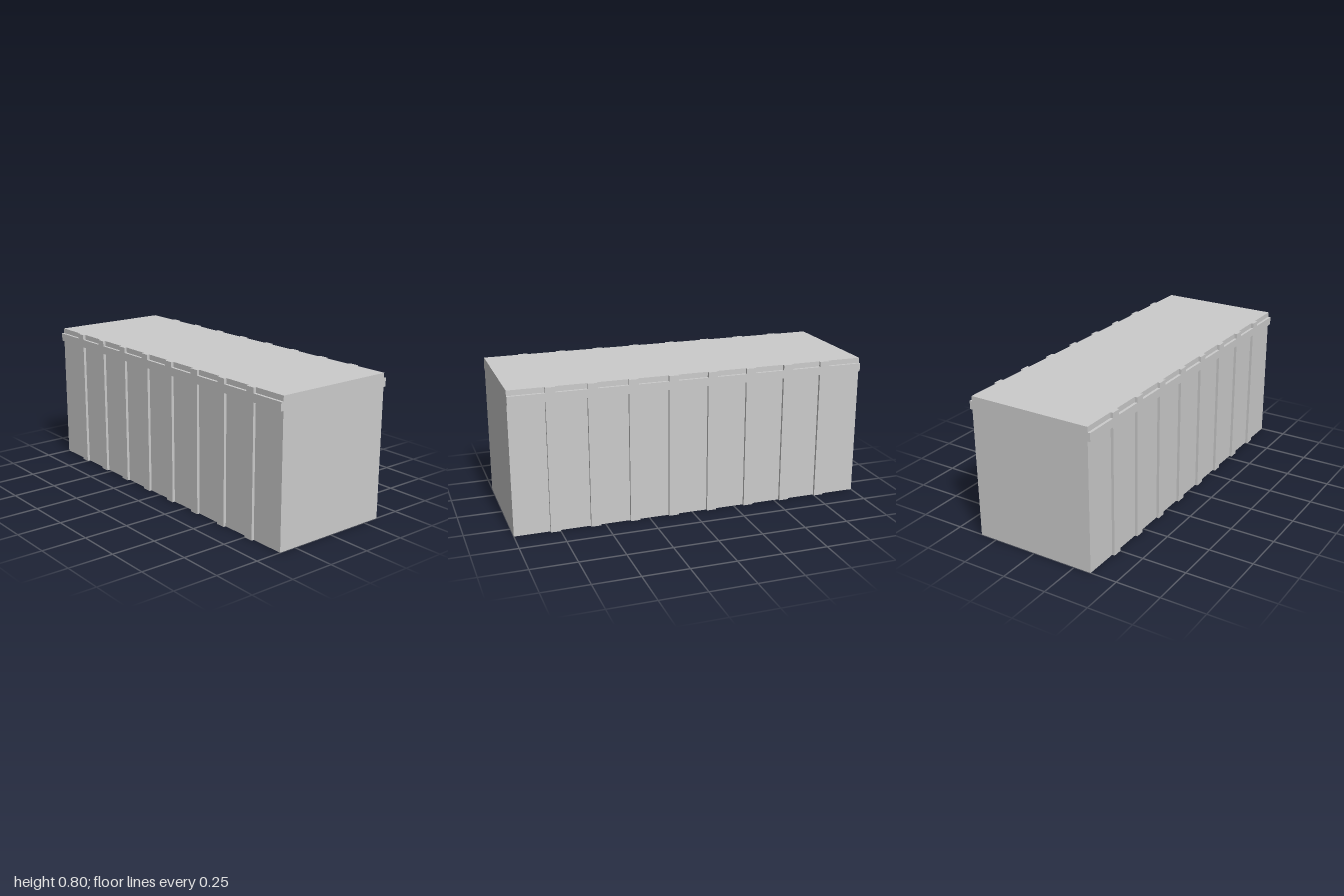
import * as THREE from 'three';

const HEIGHT = 0.8, CORE_Z = 0.349, RELIEF = 0.015;
const RAIL_LOW = 0.725, RAIL_HIGH = 0.771;
const POSTS = 8, POST_HALF = 0.027, POST_REACH = 0.777;

// Outline of one side's frame: eight full-height posts joined by a long rail
function frameShape() {
  const centres = Array.from({ length: POSTS }, (_, i) => -POST_REACH + (2 * POST_REACH * i) / (POSTS - 1));
  const shape = new THREE.Shape();
  shape.moveTo(-1, RAIL_LOW);
  for (const c of centres) {
    const l = c - POST_HALF, r = c + POST_HALF;
    shape.lineTo(l, RAIL_LOW).lineTo(l, 0).lineTo(r, 0).lineTo(r, RAIL_LOW);
  }
  shape.lineTo(1, RAIL_LOW).lineTo(1, RAIL_HIGH);
  for (const c of centres.reverse()) {
    const l = c - POST_HALF, r = c + POST_HALF;
    shape.lineTo(r, RAIL_HIGH).lineTo(r, HEIGHT).lineTo(l, HEIGHT).lineTo(l, RAIL_HIGH);
  }
  shape.lineTo(-1, RAIL_HIGH);
  shape.closePath();
  return shape;
}

export function createModel() {
  const model = new THREE.Group();
  model.name = 'ribbedBlock';
  const material = new THREE.MeshStandardMaterial({ color: 0xcccccc, flatShading: true });

  // Solid body
  const body = new THREE.Mesh(new THREE.BoxGeometry(2, HEIGHT, CORE_Z * 2), material);
  body.name = 'body';
  body.position.y = HEIGHT / 2;
  model.add(body);

  // Raised posts and rail on the front and the back
  const frameGeometry = new THREE.ExtrudeGeometry(frameShape(), { depth: RELIEF, bevelEnabled: false });
  frameGeometry.translate(0, 0, CORE_Z);
  for (const [name, turn] of [['frontFrame', 0], ['backFrame', Math.PI]]) {
    const frame = new THREE.Mesh(frameGeometry, material);
    frame.name = name;
    frame.rotation.y = turn;
    model.add(frame);
  }
  return model;
}
